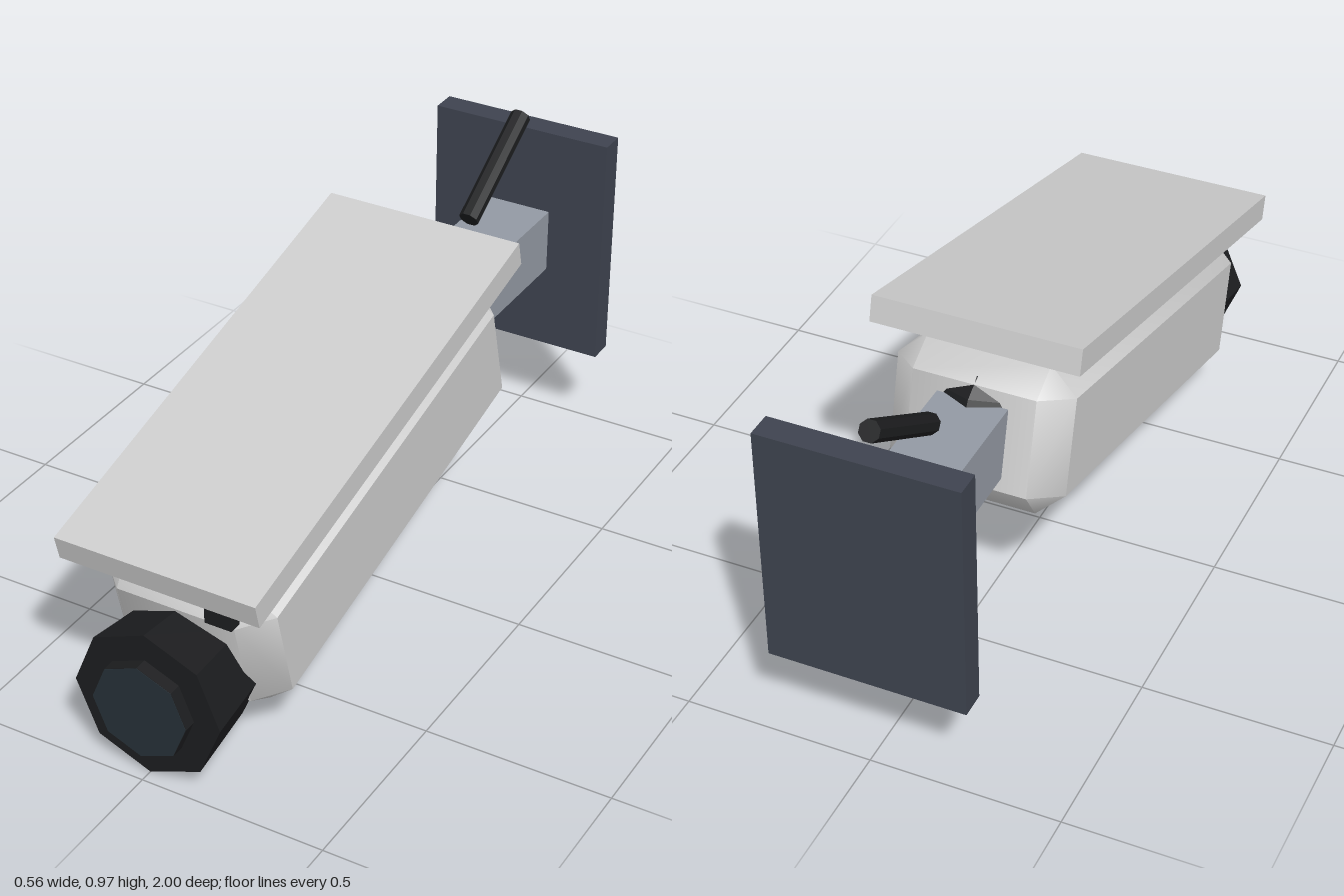
import * as THREE from 'three';
import { toCreasedNormals } from 'three/addons/utils/BufferGeometryUtils.js';
import { ConvexGeometry } from 'three/addons/geometries/ConvexGeometry.js';

const material = (color) => new THREE.MeshStandardMaterial({ color, flatShading: true });
const grey = material(0xcccccc);
const greySmooth = new THREE.MeshStandardMaterial({ color: 0xcccccc });
const plateDark = material(0x3e434f);
const armGrey = material(0x9399a3);
const black = material(0x1c1d1f);
const glass = material(0x263037);

const TILT = 0.247; // camera looks down by about 14 degrees

// Box with one flat chamfer on every edge; half sizes and chamfer per axis
function chamferBox(half, cut) {
  const points = [];
  for (const sx of [-1, 1]) for (const sy of [-1, 1]) for (const sz of [-1, 1]) {
    for (let axis = 0; axis < 3; axis++) {
      const p = half.map((h, i) => (i === axis ? h : h - cut[i]));
      points.push(new THREE.Vector3(sx * p[0], sy * p[1], sz * p[2]));
    }
  }
  return toCreasedNormals(new ConvexGeometry(points), THREE.MathUtils.degToRad(44.5));
}

// Octagonal prism along z with a corner at the top
function octagon(rFront, rBack, length) {
  return new THREE.CylinderGeometry(rFront, rBack, length, 8).rotateX(Math.PI / 2);
}

export function createModel() {
  const model = new THREE.Group();
  model.name = 'securityCamera';

  const add = (name, geometry, mat, x, y, z, tilt = 0) => {
    const mesh = new THREE.Mesh(geometry, mat);
    mesh.name = name;
    mesh.position.set(x, y, z);
    mesh.rotation.x = tilt;
    model.add(mesh);
    return mesh;
  };

  // Wall mount
  add('wallPlate', new THREE.BoxGeometry(0.52, 0.66, 0.07), plateDark, 0, 0.58, -0.965);
  add('mountArm', new THREE.BoxGeometry(0.19, 0.18, 0.54), armGrey, 0, 0.58, -0.67);
  add('ballJoint', new THREE.SphereGeometry(0.125, 8, 6), black, 0, 0.6, -0.335, TILT);

  // Cable running from the wall plate down towards the housing
  const cableStart = new THREE.Vector3(0, 0.76, -0.63);
  const cableEnd = new THREE.Vector3(0, 0.945, -0.925);
  const cableDir = cableEnd.clone().sub(cableStart);
  const cable = add('cable', new THREE.CylinderGeometry(0.028, 0.028, cableDir.length(), 8)
    .rotateY(Math.PI / 8), black, 0, 0.8525, -0.7775);
  cable.quaternion.setFromUnitVectors(new THREE.Vector3(0, 1, 0), cableDir.normalize());

  // Housing and sun hood
  add('housing', chamferBox([0.24, 0.2, 0.63], [0.075, 0.069, 0.073]), greySmooth,
    0, 0.4275, 0.19, TILT);
  add('sunHood', new THREE.BoxGeometry(0.555, 0.07, 1.33), grey, 0, 0.688, 0.2625, TILT);

  // Sensor hanging under the hood's front edge
  add('sensor', new THREE.BoxGeometry(0.074, 0.09, 0.036), black, 0.148, 0.475, 0.857);

  // Lens barrel, rim and glass
  add('lensBarrel', octagon(0.204, 0.178, 0.22), black, 0, 0.205, 0.855);
  add('lensRim', octagon(0.132, 0.132, 0.04), black, 0, 0.205, 0.979);
  add('lensGlass', octagon(0.131, 0.131, 0.002), glass, 0, 0.205, 0.999);

  return model;
}
